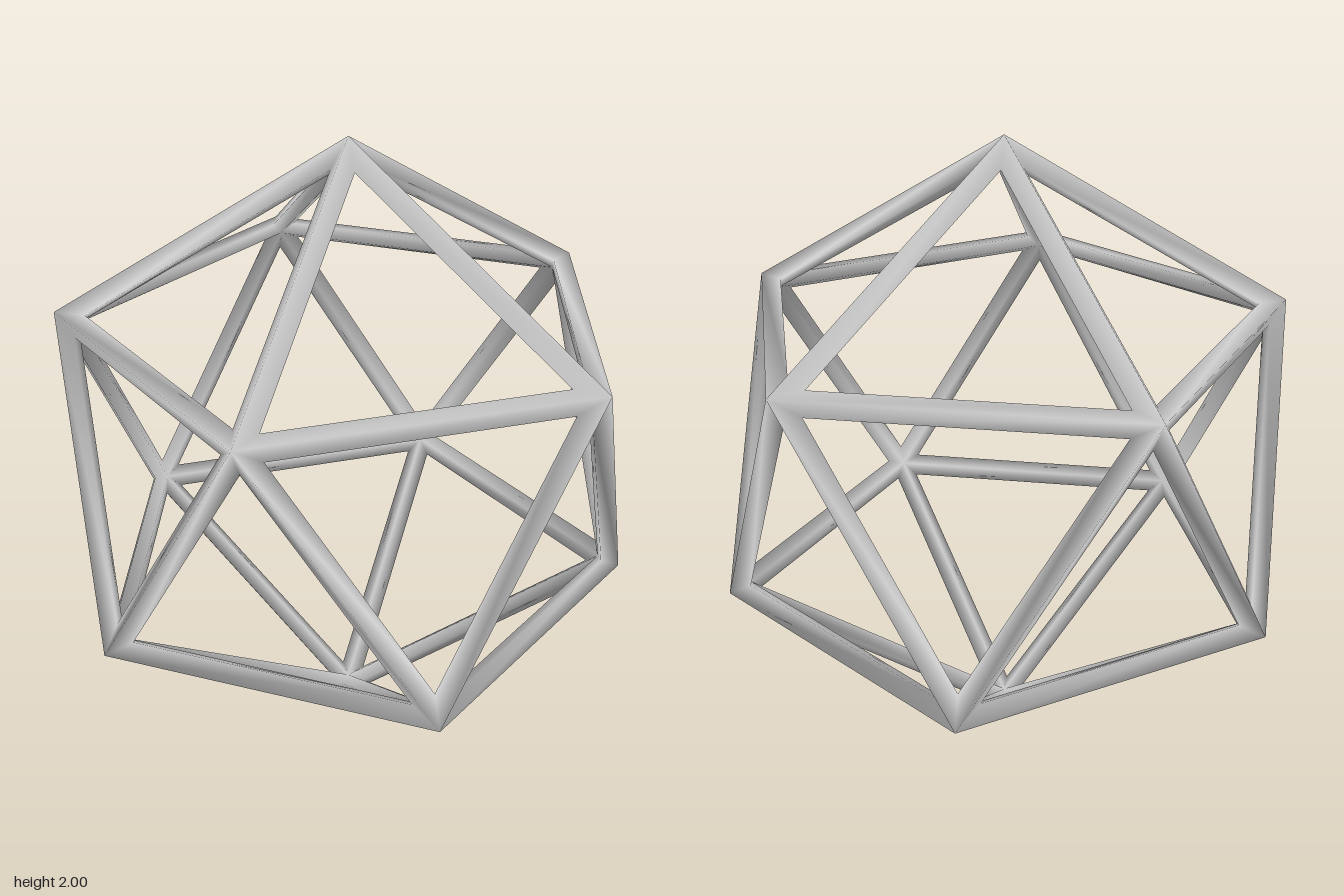
import * as THREE from 'three';

const HALF = 0.04;        // half the strut thickness
const BASE = 1 - HALF;    // radius of the strut centre lines

// Twelve icosahedron directions: top, upper ring, lower ring, bottom
function directions() {
  const h = 1 / Math.sqrt(5), r = 2 / Math.sqrt(5);
  const ring = (y, start) => Array.from({ length: 5 }, (_, k) => {
    const a = start + k * Math.PI * 0.4;
    return new THREE.Vector3(r * Math.cos(a), y, r * Math.sin(a));
  });
  return [new THREE.Vector3(0, 1, 0), ...ring(h, 0), ...ring(-h, Math.PI / 5), new THREE.Vector3(0, -1, 0)];
}

// Twenty triangles, each turned to face outwards
function triangles(dirs) {
  const list = [];
  for (let k = 0; k < 5; k++) {
    const n = (k + 1) % 5;
    const u = 1 + k, u2 = 1 + n, l = 6 + k, l2 = 6 + n;
    list.push([0, u, u2], [u, l, u2], [l, l2, u2], [11, l, l2]);
  }
  return list.map(([a, b, c]) => {
    const normal = dirs[b].clone().sub(dirs[a]).cross(dirs[c].clone().sub(dirs[a]));
    return normal.dot(dirs[a]) > 0 ? [a, b, c] : [a, c, b];
  });
}

// Open frame with diamond-section struts that share smooth, mitred corners
function frameGeometry() {
  const dirs = directions();
  const points = [], index = [];
  const add = (p) => points.push(p) - 1;
  const quad = (a, b, c, d) => index.push(a, b, c, a, c, d);

  const outer = dirs.map((d) => add(d.clone()));
  const inner = dirs.map((d) => add(d.clone().multiplyScalar(1 - 2 * HALF)));

  for (const tri of triangles(dirs)) {
    const corners = tri.map((i) => dirs[i].clone().multiplyScalar(BASE));
    const centre = new THREE.Vector3();
    corners.forEach((c) => centre.addScaledVector(c, 1 / 3));
    // window corners, inset by HALF from both neighbouring edges
    const side = corners.map((c) =>
      add(c.clone().addScaledVector(centre.clone().sub(c).normalize(), 2 * HALF)));
    for (let i = 0; i < 3; i++) {
      const j = (i + 1) % 3, a = tri[i], b = tri[j];
      quad(outer[a], outer[b], side[j], side[i]);
      quad(inner[b], inner[a], side[i], side[j]);
    }
  }

  const geometry = new THREE.BufferGeometry().setFromPoints(points);
  geometry.setIndex(index);
  geometry.computeVertexNormals();
  return geometry;
}

export function createModel() {
  const model = new THREE.Group();
  model.name = 'icosahedronFrame';
  const struts = new THREE.Mesh(frameGeometry(), new THREE.MeshStandardMaterial({ color: 0xcccccc }));
  struts.name = 'struts';
  struts.position.y = 1;
  model.add(struts);
  return model;
}
